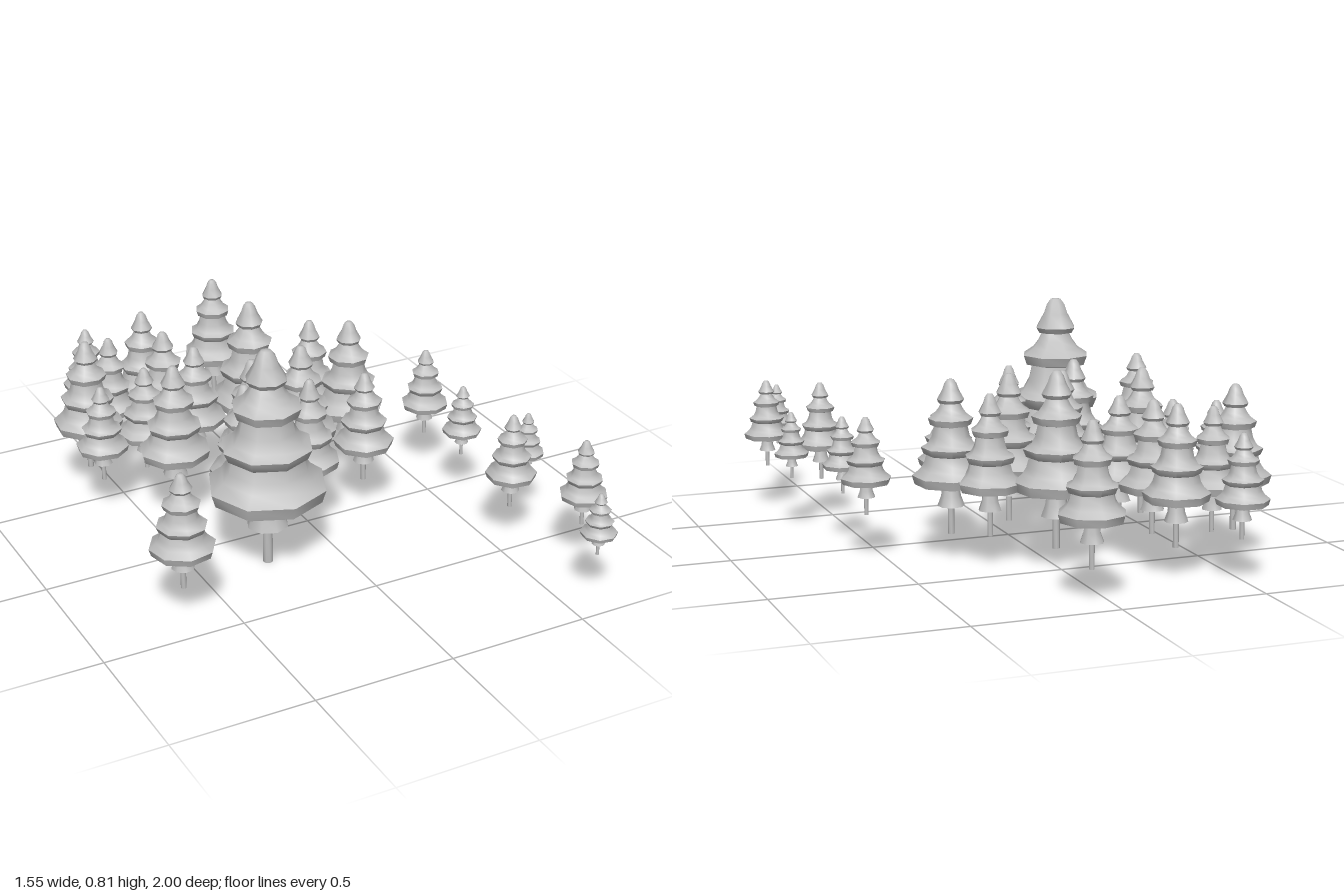
import * as THREE from 'three';
import { toCreasedNormals } from 'three/addons/utils/BufferGeometryUtils.js';

const SIDES = 8;
const SKIRT_Y = 0.265; // all trees share the height of their widest tier

function lathe(profile) {
  const points = profile.map(([r, y]) => new THREE.Vector2(r, y - SKIRT_Y));
  return toCreasedNormals(new THREE.LatheGeometry(points, SIDES), 0.9);
}

export function createModel() {
  const group = new THREE.Group();
  group.name = 'pineGrove';

  const grey = new THREE.MeshStandardMaterial({ color: 0xbfbfbf });
  grey.name = 'grey';

  // Profiles as [radius, height], from bottom to top
  const trunkGeo = lathe([[0, 0], [0.018, 0], [0.018, 0.16]]);
  const lowerSkirtGeo = lathe([
    [0, 0.155], [0.055, 0.145], [0.074, 0.148], [0.054, 0.2], [0.043, 0.27],
  ]);
  const foliageGeo = lathe([
    [0, 0.266], [0.196, 0.264], [0.21, 0.31], [0.165, 0.345], [0.145, 0.375], [0.132, 0.418],
    [0.146, 0.422], [0.161, 0.457], [0.125, 0.475], [0.102, 0.515], [0.09, 0.568],
    [0.11, 0.572], [0.122, 0.605], [0.085, 0.63], [0.066, 0.655], [0.05, 0.685],
    [0.062, 0.685], [0.073, 0.703], [0.045, 0.752], [0.033, 0.785], [0.018, 0.805], [0, 0.807],
  ]);

  // Each tree: x, z, radius, top height
  const trees = [
    [-0.25, 0.18, 0.21, 0.807],
    [-0.475, -0.87, 0.09, 0.5],
    [0.06, -0.895, 0.113, 0.585],
    [-0.3, -0.745, 0.113, 0.585],
    [-0.47, -0.66, 0.1, 0.55],
    [-0.595, -0.57, 0.126, 0.6],
    [-0.29, -0.58, 0.117, 0.57],
    [-0.62, -0.38, 0.094, 0.51],
    [-0.44, -0.41, 0.102, 0.53],
    [-0.235, -0.43, 0.115, 0.56],
    [0.01, -0.475, 0.146, 0.667],
    [0.21, -0.385, 0.112, 0.588],
    [0.3, -0.25, 0.131, 0.62],
    [-0.41, -0.225, 0.128, 0.61],
    [-0.14, -0.155, 0.124, 0.605],
    [0.06, -0.165, 0.131, 0.61],
    [-0.255, 0.02, 0.124, 0.61],
    [-0.025, 0.06, 0.109, 0.595],
    [0.215, 0.02, 0.108, 0.547],
    [0.565, -0.145, 0.087, 0.49],
    [0.575, 0.1, 0.071, 0.447],
    [0.69, 0.35, 0.062, 0.425],
    [0.55, 0.465, 0.09, 0.503],
    [0.69, 0.7, 0.084, 0.48],
    [0.59, 0.935, 0.063, 0.418],
    [-0.665, 0.39, 0.113, 0.55],
  ];

  trees.forEach(([x, z, radius, top], i) => {
    const tree = new THREE.Group();
    tree.name = `tree${i + 1}`;
    const parts = { trunk: trunkGeo, lowerSkirt: lowerSkirtGeo, foliage: foliageGeo };
    for (const [name, geometry] of Object.entries(parts)) {
      const mesh = new THREE.Mesh(geometry, grey);
      mesh.name = name;
      tree.add(mesh);
    }
    const s = radius / 0.21;
    tree.scale.set(s, (top - SKIRT_Y) / (0.807 - SKIRT_Y), s);
    tree.position.set(x, SKIRT_Y, z);
    tree.rotation.y = i * 0.37;
    group.add(tree);
  });

  return group;
}
